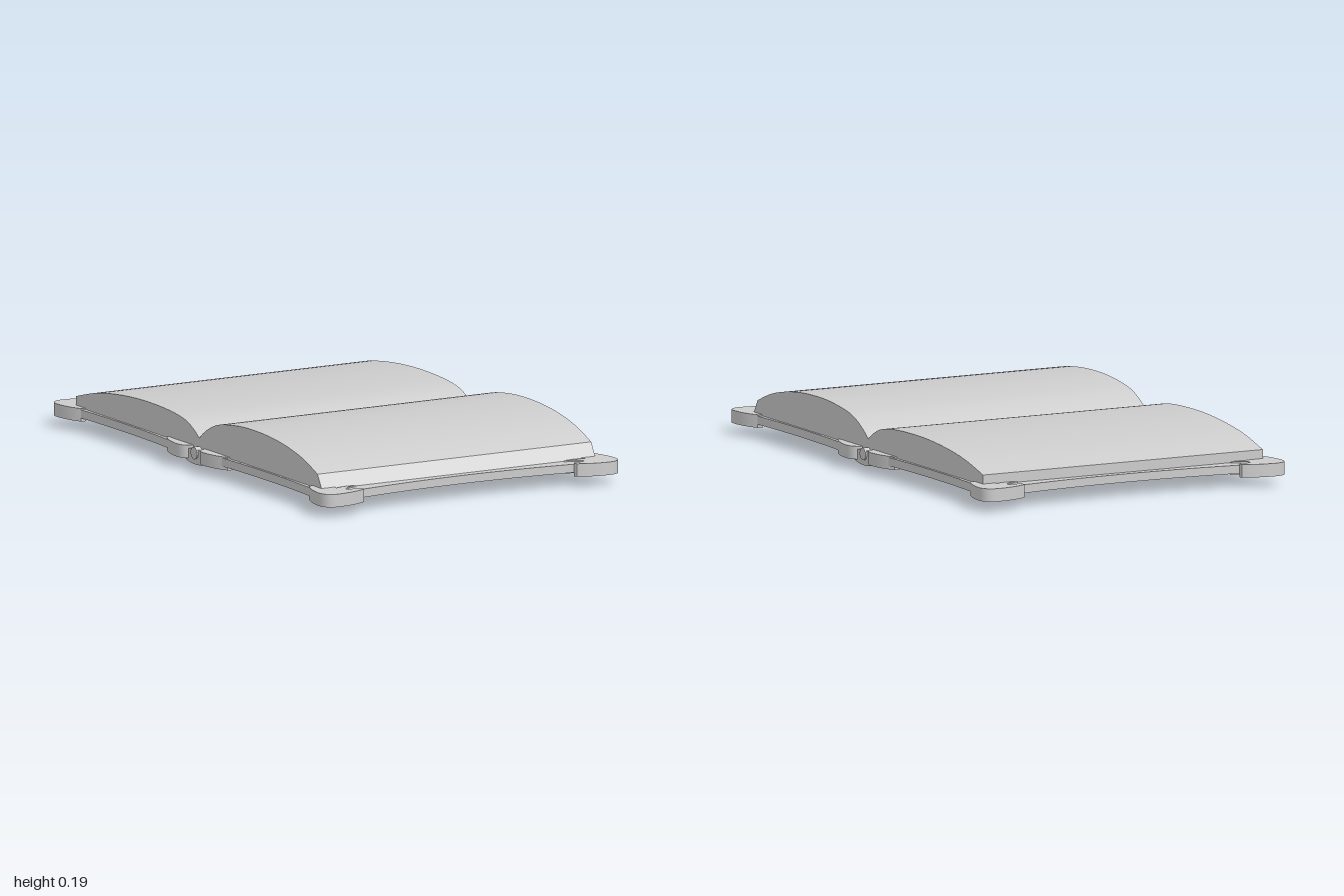
import * as THREE from 'three';
import { toCreasedNormals } from 'three/addons/utils/BufferGeometryUtils.js';

const material = new THREE.MeshStandardMaterial({ color: 0xcccccc });
const V = (x, y) => new THREE.Vector2(x, y);

function add(parent, name, geometry) {
  const mesh = new THREE.Mesh(geometry, material);
  mesh.name = name;
  parent.add(mesh);
  return mesh;
}

function moveVertices(geometry, rule) {
  const p = geometry.attributes.position;
  const v = new THREE.Vector3();
  for (let i = 0; i < p.count; i++) {
    v.fromBufferAttribute(p, i);
    rule(v);
    p.setXYZ(i, v.x, v.y, v.z);
  }
  geometry.computeVertexNormals();
  return geometry;
}

// Stack of pages: a curved profile (first and last points are square corners) swept along the spine
function pageBlock(top, foreEdge, foot) {
  const curve = new THREE.SplineCurve(top.map(([x, y]) => V(x, y))).getPoints(36);
  const shape = new THREE.Shape([V(0, 0.068), ...curve, V(foreEdge, foot)]);
  const geometry = new THREE.ExtrudeGeometry(shape, { depth: 1.01, bevelEnabled: false });
  geometry.translate(0, 0, -0.505);
  return toCreasedNormals(geometry, 0.5);
}

// Cover board with concave edges, sagging slightly towards the middle of the spine
function coverBoard(side) {
  const geometry = new THREE.BoxGeometry(1, 0.027, 1, 20, 1, 20);
  return moveVertices(geometry, v => {
    const s = v.x + 0.5, t = v.z * 2;
    const outer = 0.797 + 0.05 * t * t;
    const u = 0.06 + s * (outer - 0.06);
    const across = 2 * s - 1;
    v.x = side * u;
    v.z = side * t * (0.513 + 0.017 * across * across);
    v.y += 0.0585 - 0.025 * Math.exp(-((u / 0.27) ** 2)) * Math.max(0, 1 - t * t);
    if (side < 0) v.z = v.z; // half-turn keeps the winding
  });
}

// Ornate fitting outline: rounded corner at the origin, two curled arms
function fittingShape(sx, sz, ornate) {
  const shape = new THREE.Shape();
  const q = (a, b, c, d) => shape.quadraticCurveTo(a * sx, b * sz, c * sx, d * sz);
  shape.moveTo(0, 0.05 * sz);
  q(0, 0, 0.05, 0);
  q(0.11, 0.003, 0.155, 0.028);
  q(0.165, 0.045, 0.145, 0.052);
  q(0.12, 0.045, 0.108, 0.06);
  q(0.125, 0.085, 0.165, 0.09);
  q(0.115, 0.105, 0.085, 0.085);
  q(0.105, 0.115, 0.09, 0.165);
  q(0.085, 0.125, 0.06, 0.108);
  q(0.045, 0.12, 0.052, 0.145);
  q(0.045, 0.165, 0.028, 0.155);
  q(0.003, 0.11, 0, 0.05);
  if (ornate) {
    for (const [a, b, r] of [[0.04, 0.04, 0.013], [0.1, 0.032, 0.011], [0.032, 0.1, 0.011]]) {
      const hole = new THREE.Path();
      hole.absarc(a * sx, b * sz, r, 0, Math.PI * 2, false);
      shape.holes.push(hole);
    }
  }
  return shape;
}

function fitting(name, x, z, sx, sz) {
  const group = new THREE.Group();
  group.name = name;
  const layer = (part, top, depth, ornate) => {
    const geometry = new THREE.ExtrudeGeometry(fittingShape(sx, sz, ornate),
      { depth, bevelEnabled: false, curveSegments: 8 });
    geometry.rotateX(Math.PI / 2);
    add(group, part, toCreasedNormals(geometry, 0.6)).position.set(x, top, z);
  };
  layer('fittingBody', 0.076, 0.032, false);
  layer('fittingPlate', 0.044, 0.01, true);
  return group;
}

export function createModel() {
  const model = new THREE.Group();
  model.name = 'openBook';
  const book = new THREE.Group();
  book.name = 'book';
  book.rotation.y = -0.657;
  model.add(book);

  // Page blocks, the right-hand one thicker
  add(book, 'thickPages', pageBlock([
    [0, 0.105], [0.03, 0.128], [0.08, 0.155], [0.14, 0.173], [0.25, 0.187], [0.35, 0.19],
    [0.45, 0.186], [0.55, 0.174], [0.65, 0.152], [0.74, 0.118]], 0.77, 0.068));
  add(book, 'thinPages', pageBlock([
    [0, 0.105], [-0.03, 0.125], [-0.08, 0.147], [-0.15, 0.159], [-0.25, 0.165], [-0.38, 0.165],
    [-0.52, 0.155], [-0.65, 0.136], [-0.77, 0.105]], -0.77, 0.068));

  // Covers
  add(book, 'coverBoard', coverBoard(1));
  add(book, 'coverBoard', coverBoard(-1));

  // Rounded spine, bowed down at mid length
  const spine = new THREE.CylinderGeometry(1, 1, 1.04, 32, 20);
  spine.rotateX(Math.PI / 2);
  add(book, 'spine', toCreasedNormals(moveVertices(spine, v => {
    v.x *= 0.078;
    v.y = 0.046 + v.y * 0.025 - 0.021 * (1 - (v.z / 0.52) ** 2);
  }), 0.6));

  // Rolled binding showing at the spine ends
  const binding = new THREE.CylinderGeometry(0.02, 0.02, 1.05, 20);
  binding.rotateX(Math.PI / 2);
  add(book, 'binding', binding).position.y = 0.058;

  // Fittings on the outer corners and beside the spine
  for (const sx of [-1, 1]) {
    for (const sz of [-1, 1]) {
      book.add(fitting('cornerFitting', 0.868 * sx, 0.548 * sz, -sx, -sz));
      book.add(fitting('spineFitting', 0.035 * sx, 0.54 * sz, sx, -sz));
    }
  }
  return model;
}
